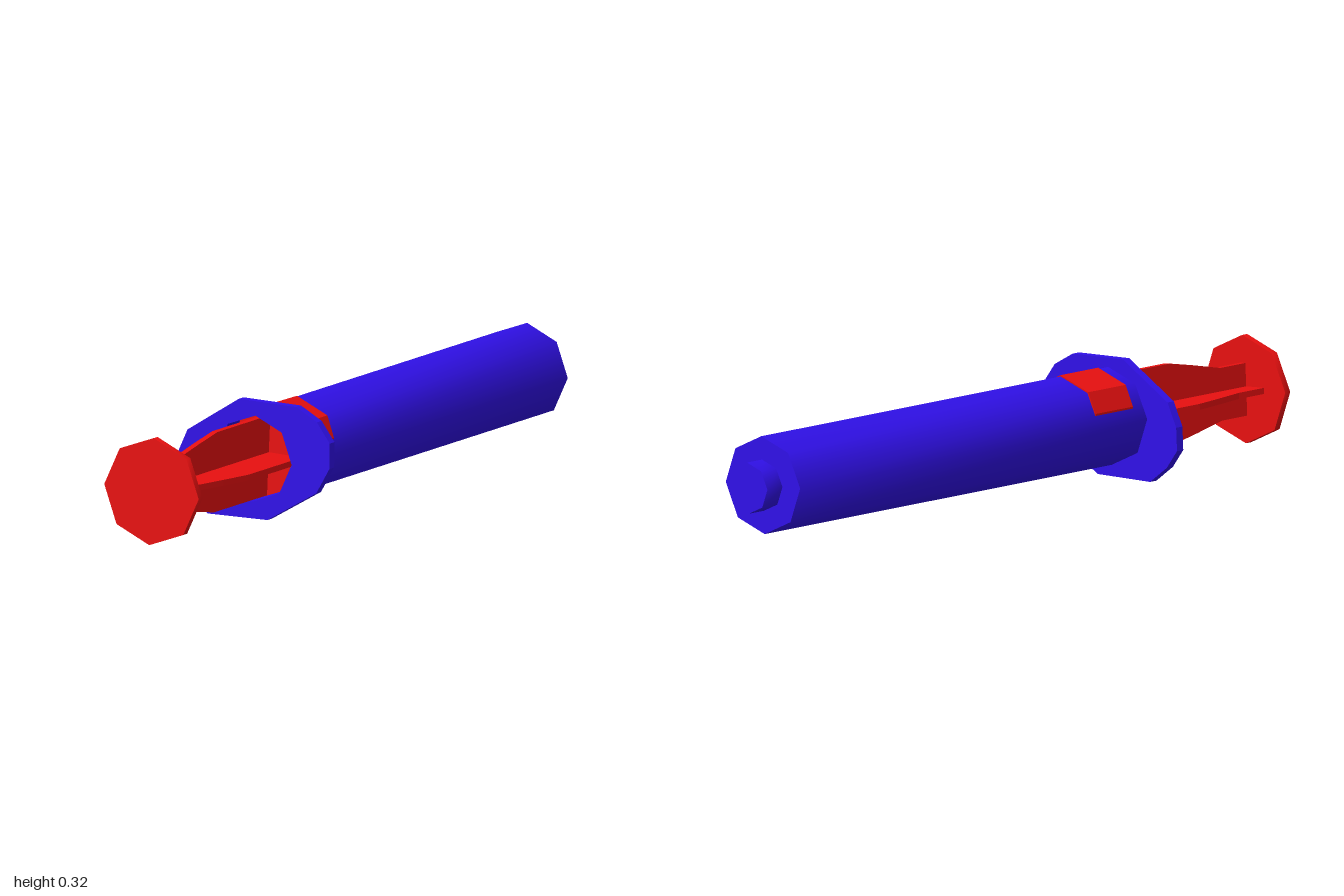
import * as THREE from 'three';
import { toCreasedNormals } from 'three/addons/utils/BufferGeometryUtils.js';

const blue = new THREE.MeshStandardMaterial({ color: 0x3010e8 });
const red = new THREE.MeshStandardMaterial({ color: 0xe81010 });
const AXIS_Y = 0.162;   // height of the long axis
const ROLL = -0.047;    // slight roll of the octagonal parts

const vectors = (points) => points.map(([x, y]) => new THREE.Vector2(x, y));

// Eight-sided turned part along z; profile is [radius, z] from back to front
function turned(profile) {
  const geometry = new THREE.LatheGeometry(vectors(profile), 8);
  geometry.rotateX(Math.PI / 2);
  return toCreasedNormals(geometry, 0.9);
}

// Outline in x/y, extruded from z0 to z1
function plate(shape, z0, z1) {
  const geometry = new THREE.ExtrudeGeometry(shape, { depth: z1 - z0, bevelEnabled: false });
  return geometry.translate(0, 0, z0);
}

export function createModel() {
  const model = new THREE.Group();
  const body = new THREE.Group();
  body.name = 'syringe';
  body.position.y = AXIS_Y;
  model.add(body);

  const add = (name, geometry, material, roll = ROLL) => {
    const mesh = new THREE.Mesh(geometry, material);
    mesh.name = name;
    mesh.rotation.z = roll;
    body.add(mesh);
    return mesh;
  };

  // Hollow barrel, open at the front, and the nozzle at the back
  add('barrel', turned([
    [0, -0.94], [0.13, -0.94], [0.13, 0.46], [0.116, 0.46], [0.116, -0.92], [0, -0.92],
  ]), blue);
  add('nozzle', turned([[0, -1], [0.068, -1], [0.068, -0.93]]), blue);

  // Skewed finger flange with an octagonal opening
  const flange = new THREE.Shape(vectors([
    [-0.045, 0.318], [0.13, 0.313], [0.193, 0.278], [0.232, 0.225], [0.231, 0.157], [0.191, 0.088],
    [0.042, 0.002], [-0.14, 0.002], [-0.198, 0.046], [-0.234, 0.095], [-0.231, 0.157], [-0.201, 0.221],
  ].map(([x, y]) => [x, y - AXIS_Y])));
  const hole = [];
  for (let i = 0; i < 8; i++) {
    const a = i * Math.PI / 4 + ROLL;
    hole.push([0.116 * Math.cos(a), 0.116 * Math.sin(a)]);
  }
  flange.holes.push(new THREE.Path(vectors(hole)));
  add('fingerFlange', plate(flange, 0.445, 0.47), blue, 0);

  // Piston, whose upper half shows as a band on the barrel
  const piston = new THREE.Shape(vectors([
    [0.117, 0.038], [0.0945, 0.0945], [0, 0.1335], [-0.0945, 0.0945], [-0.117, 0.038],
    [-0.11, -0.03], [-0.08, -0.08], [0, -0.112], [0.08, -0.08], [0.11, -0.03],
  ]));
  add('piston', plate(piston, 0.255, 0.405), red);

  // Plunger rod: two crossed fins that taper towards the thumb rest
  const half = [[0.108, 0.4], [0.108, 0.68], [0.09, 0.78], [0.07, 0.88], [0.07, 0.985]];
  const outline = [...half, ...half.map(([r, z]) => [-r, z]).reverse()];
  const fin = plate(new THREE.Shape(vectors(outline)), -0.008, 0.008);
  fin.rotateX(Math.PI / 2);
  add('plungerFinFlat', fin, red);
  add('plungerFinUpright', fin, red, ROLL + Math.PI / 2);

  // Octagonal thumb rest
  add('thumbRest', turned([[0, 0.98], [0.144, 0.98], [0.144, 1], [0, 1]]), red);

  return model;
}
